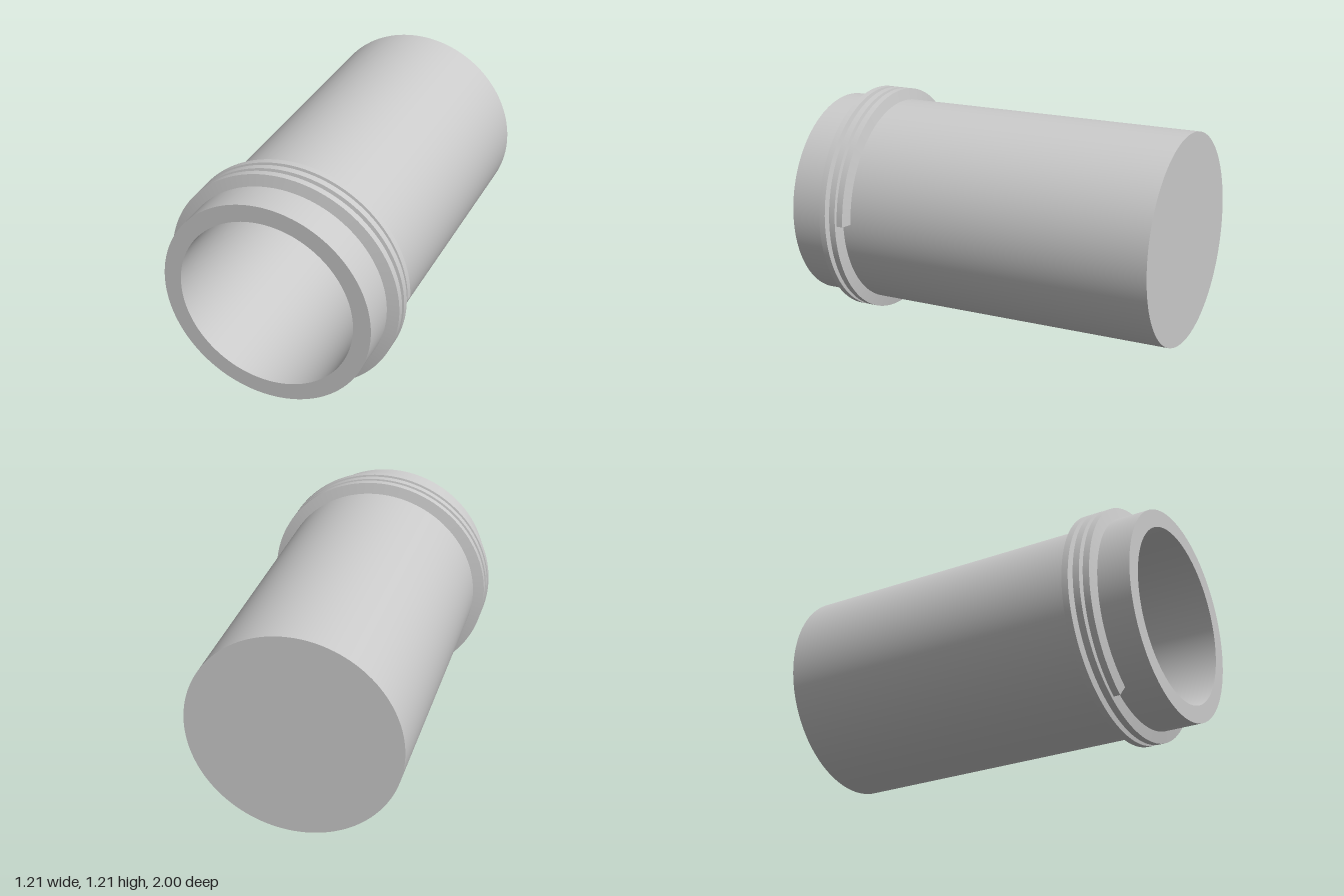
import * as THREE from 'three';
import { toCreasedNormals } from 'three/addons/utils/BufferGeometryUtils.js';

const OUTER = 0.547, INNER = 0.457, CREST = 0.606;

// Closed tube with a hollow bore, open to the front
function bodyGeometry() {
  const profile = [
    [0, -1], [OUTER, -1], [OUTER, 1], [INNER, 1], [INNER, -0.91], [0, -0.91],
  ].map(([r, h]) => new THREE.Vector2(r, h));
  const geometry = new THREE.LatheGeometry(profile, 128);
  geometry.rotateX(Math.PI / 2);
  return toCreasedNormals(geometry, 0.5);
}

// Thread advance along z: steady pitch, eased flat over half a turn at both ends
function threadZ(angle, total) {
  const ease = Math.PI, rise = 0.0304 / Math.PI;
  const rest = total - angle;
  const end = rise * (total - ease);
  if (angle < ease) return 0.671 + rise * angle * angle / (2 * ease);
  if (rest < ease) return 0.671 + end - rise * rest * rest / (2 * ease);
  return 0.671 + rise * (angle - ease / 2);
}

// Trapezoid section swept along the helix, with flat ends
function threadGeometry() {
  const total = THREE.MathUtils.degToRad(957.5), steps = 320;
  const section = [[0.53, -0.033], [CREST, -0.017], [CREST, 0.017], [0.53, 0.033]];
  const positions = [], index = [];
  for (let i = 0; i <= steps; i++) {
    const angle = total * i / steps, z = threadZ(angle, total);
    for (const [r, dz] of section) {
      positions.push(r * Math.cos(angle), r * Math.sin(angle), z + dz);
    }
  }
  for (let i = 0; i < steps; i++) {
    for (let j = 0; j < 4; j++) {
      const k = (j + 1) % 4;
      const a = i * 4 + j, b = a + 4, c = i * 4 + 4 + k, d = i * 4 + k;
      index.push(a, b, c, a, c, d);
    }
  }
  const e = steps * 4;
  index.push(0, 1, 2, 0, 2, 3, e, e + 2, e + 1, e, e + 3, e + 2);
  const geometry = new THREE.BufferGeometry();
  geometry.setAttribute('position', new THREE.Float32BufferAttribute(positions, 3));
  geometry.setIndex(index);
  return toCreasedNormals(geometry, 0.3);
}

export function createModel() {
  const group = new THREE.Group();
  group.name = 'threadedContainer';
  const material = new THREE.MeshStandardMaterial({ color: 0xcccccc });
  const add = (name, geometry) => {
    const mesh = new THREE.Mesh(geometry, material);
    mesh.name = name;
    mesh.position.y = CREST;
    group.add(mesh);
  };
  add('body', bodyGeometry());
  add('screwThread', threadGeometry());
  return group;
}
